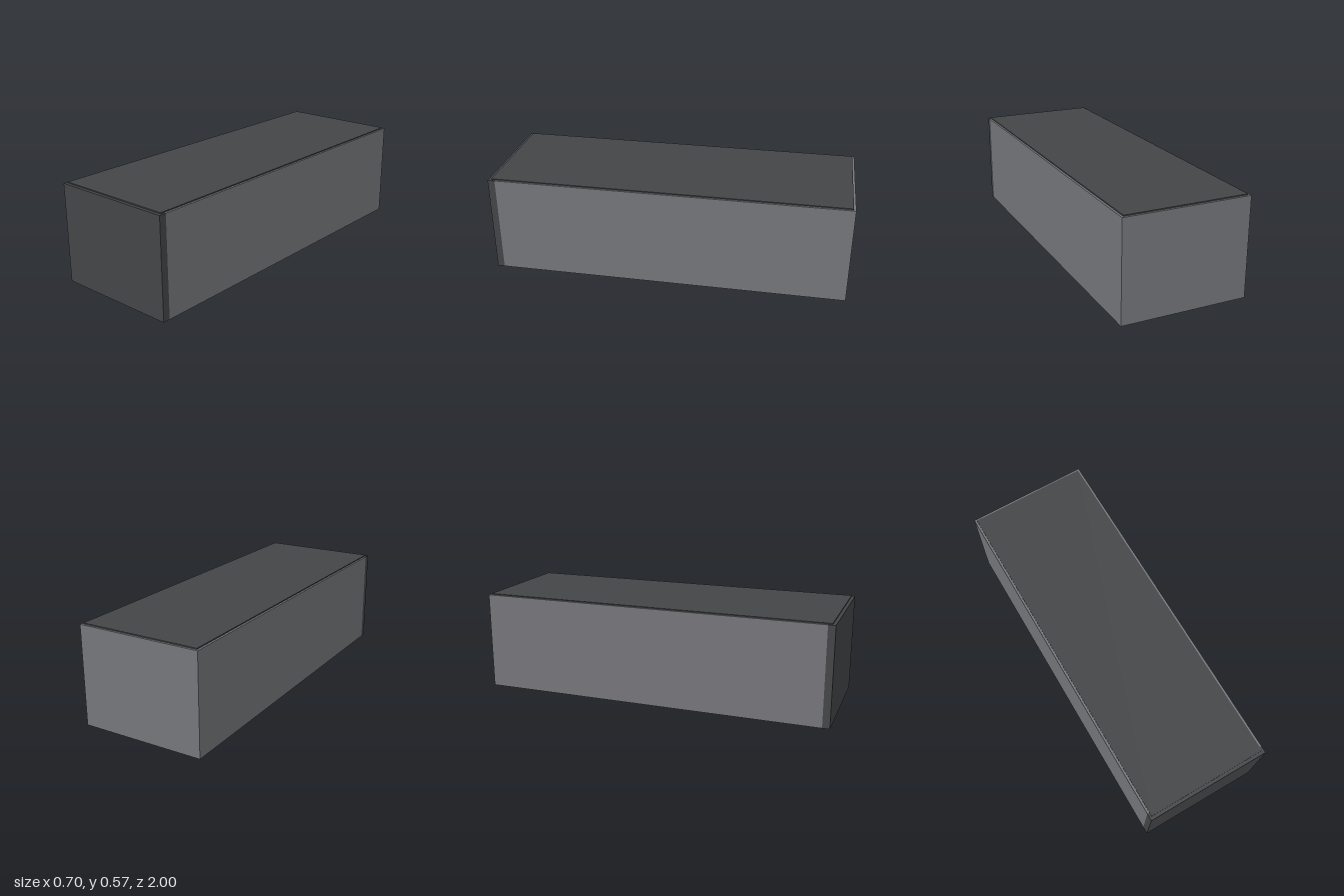
import * as THREE from 'three';

const mat = (color) => new THREE.MeshStandardMaterial({ color });
const GREY = mat(0x75767a), DARK = mat(0x444547), BLACK = mat(0x17191c), GREEN = mat(0x4a9a3a);

// box given by its min/max corners
function block(parent, name, material, [x0, x1], [y0, y1], [z0, z1]) {
  const m = new THREE.Mesh(new THREE.BoxGeometry(x1 - x0, y1 - y0, z1 - z0), material);
  m.position.set((x0 + x1) / 2, (y0 + y1) / 2, (z0 + z1) / 2);
  m.name = name;
  parent.add(m);
  return m;
}

// rectangular ring lying flat, extruded upward from y0
function ring(parent, name, material, hx, hz, rim, y0, h) {
  const rect = (S, a, b) => {
    const s = new S();
    s.moveTo(-a, -b); s.lineTo(a, -b); s.lineTo(a, b); s.lineTo(-a, b); s.closePath();
    return s;
  };
  const shape = rect(THREE.Shape, hx, hz);
  shape.holes.push(rect(THREE.Path, hx - rim, hz - rim));
  const geo = new THREE.ExtrudeGeometry(shape, { depth: h, bevelEnabled: false });
  geo.rotateX(-Math.PI / 2);
  const m = new THREE.Mesh(geo, material);
  m.position.y = y0;
  m.name = name;
  parent.add(m);
  return m;
}

// one hanging module: tall body, bezel and a row of eight cells
function createCellModule() {
  const g = new THREE.Group();
  g.name = 'cellModule';
  block(g, 'moduleBody', DARK, [-0.3, 0.3], [0.0125, 0.5], [-0.061, 0.061]);
  ring(g, 'moduleBezel', GREY, 0.3, 0.061, 0.006, 0.0045, 0.008);
  ring(g, 'cellFrame', DARK, 0.292, 0.053, 0.008, 0.002, 0.0105);
  for (let i = 0; i < 9; i++) {
    const x = (i - 4) * 0.07;
    block(g, 'cellDivider', DARK, [x - 0.008, x + 0.008], [0.003, 0.0125], [-0.046, 0.046]);
    // green tabs along both long edges
    for (const s of [-1, 1])
      block(g, 'greenTab', GREEN, [x - 0.009, x + 0.009], [0, 0.005], [s * 0.049 - 0.0025, s * 0.049 + 0.0025]);
    if (i < 8)
      block(g, 'cell', BLACK, [x + 0.008, x + 0.062], [0.007, 0.013], [-0.046, 0.046]);
  }
  return g;
}

export function createModel() {
  const model = new THREE.Group();
  model.name = 'cabinet';
  const Y = [0.0125, 0.565];

  // open-bottomed shell
  const shell = new THREE.Group();
  shell.name = 'shell';
  model.add(shell);
  block(shell, 'leftWall', GREY, [0.338, 0.35], Y, [-1, 0.96]);
  block(shell, 'rightWall', GREY, [-0.35, -0.338], Y, [-1, 0.96]);
  block(shell, 'backWall', GREY, [-0.338, 0.338], Y, [-1, -0.988]);
  block(shell, 'ceiling', GREY, [-0.338, 0.338], [0.5, 0.565], [-0.988, 0.96]);

  // front panel and lid
  block(model, 'frontPanel', DARK, [-0.35, 0.35], Y, [0.96, 1]);
  block(model, 'lid', DARK, [-0.338, 0.338], [0.565, 0.571], [-0.988, 0.982]);

  // ten modules under the ceiling
  for (let i = 0; i < 10; i++) {
    const m = createCellModule();
    m.position.z = 0.827 - i * 0.181;
    model.add(m);
  }
  return model;
}
